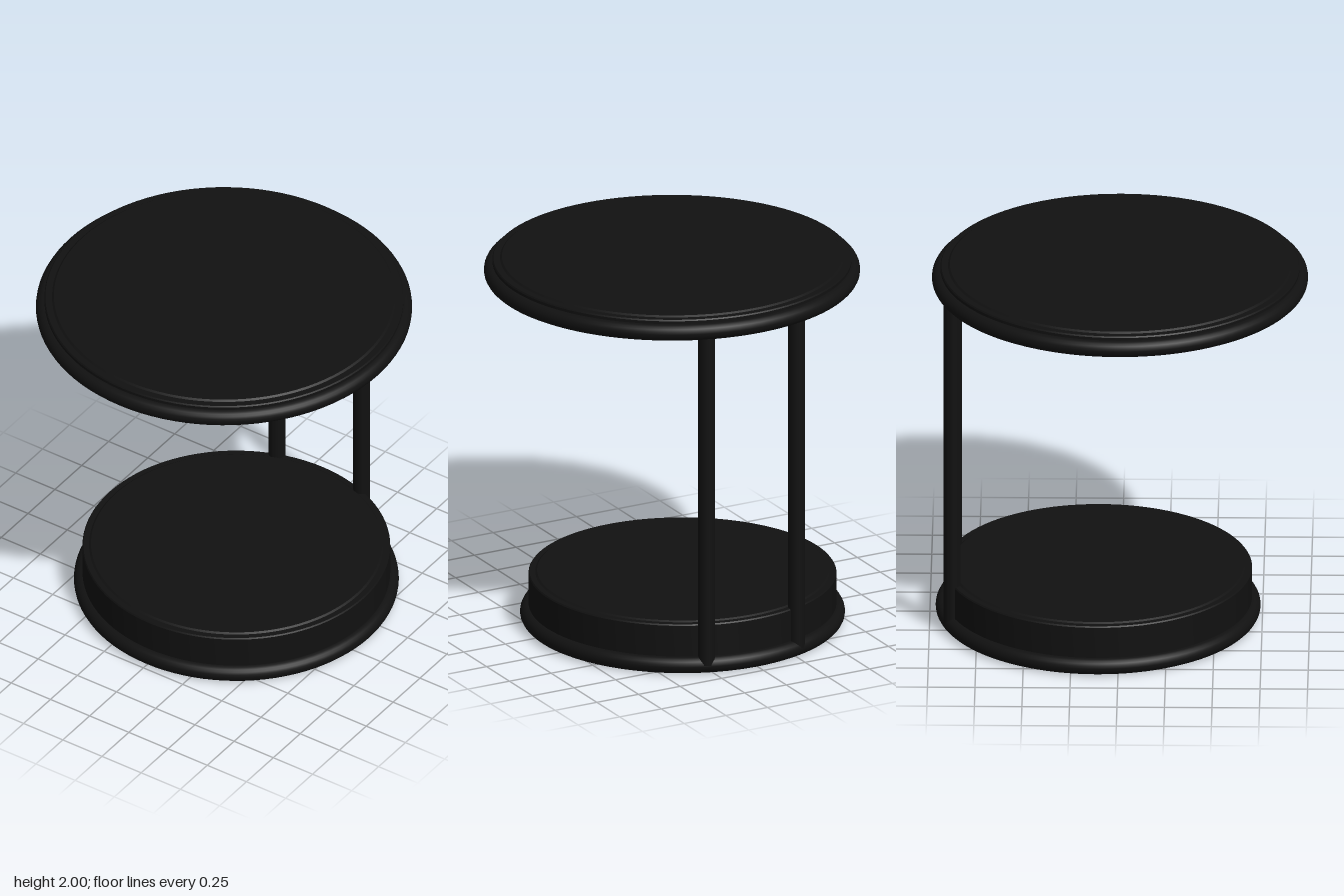
import * as THREE from 'three';
import { toCreasedNormals } from 'three/addons/utils/BufferGeometryUtils.js';

const SEGMENTS = 96;
const BASE_Z = -0.115; // the base sits towards the back

export function createModel() {
  const model = new THREE.Group();
  const material = new THREE.MeshStandardMaterial({ color: 0x111111 });

  function add(name, geometry, x, y, z) {
    const mesh = new THREE.Mesh(geometry, material);
    mesh.name = name;
    mesh.position.set(x, y, z);
    model.add(mesh);
    return mesh;
  }

  // Round solid turned from [radius, height] points, bottom to top
  function turned(profile) {
    const points = profile.map(([r, y]) => new THREE.Vector2(r, y));
    return toCreasedNormals(new THREE.LatheGeometry(points, SEGMENTS), 0.5);
  }

  // Rounded rim lying flat
  function rim(radius) {
    return new THREE.TorusGeometry(radius, 0.045, 20, SEGMENTS).rotateX(Math.PI / 2);
  }

  // Table top: disc with a slightly raised centre, inside a rounded rim
  add('tableTop', turned([
    [0, 1.88], [0.945, 1.88], [0.945, 1.985], [0.94, 1.992],
    [0.905, 1.992], [0.895, 2], [0, 2],
  ]), 0, 0, 0);
  add('tableTopRim', rim(0.945), 0, 1.925, 0);

  // Base: drum with a softened top edge, standing in a rounded rim
  add('baseDrum', turned([
    [0, 0.01], [0.81, 0.01], [0.81, 0.262], [0.805, 0.269],
    [0.775, 0.269], [0.765, 0.276], [0, 0.276],
  ]), 0, 0, BASE_Z);
  add('baseRim', rim(0.81), 0, 0.045, BASE_Z);

  // Two posts let into the back of the drum
  for (const [name, side] of [['leftPost', 1], ['rightPost', -1]]) {
    const post = new THREE.CylinderGeometry(0.045, 0.045, 1.86, 32);
    add(name, post, 0.005 + side * 0.27, 0.98, -0.88);
  }

  return model;
}
